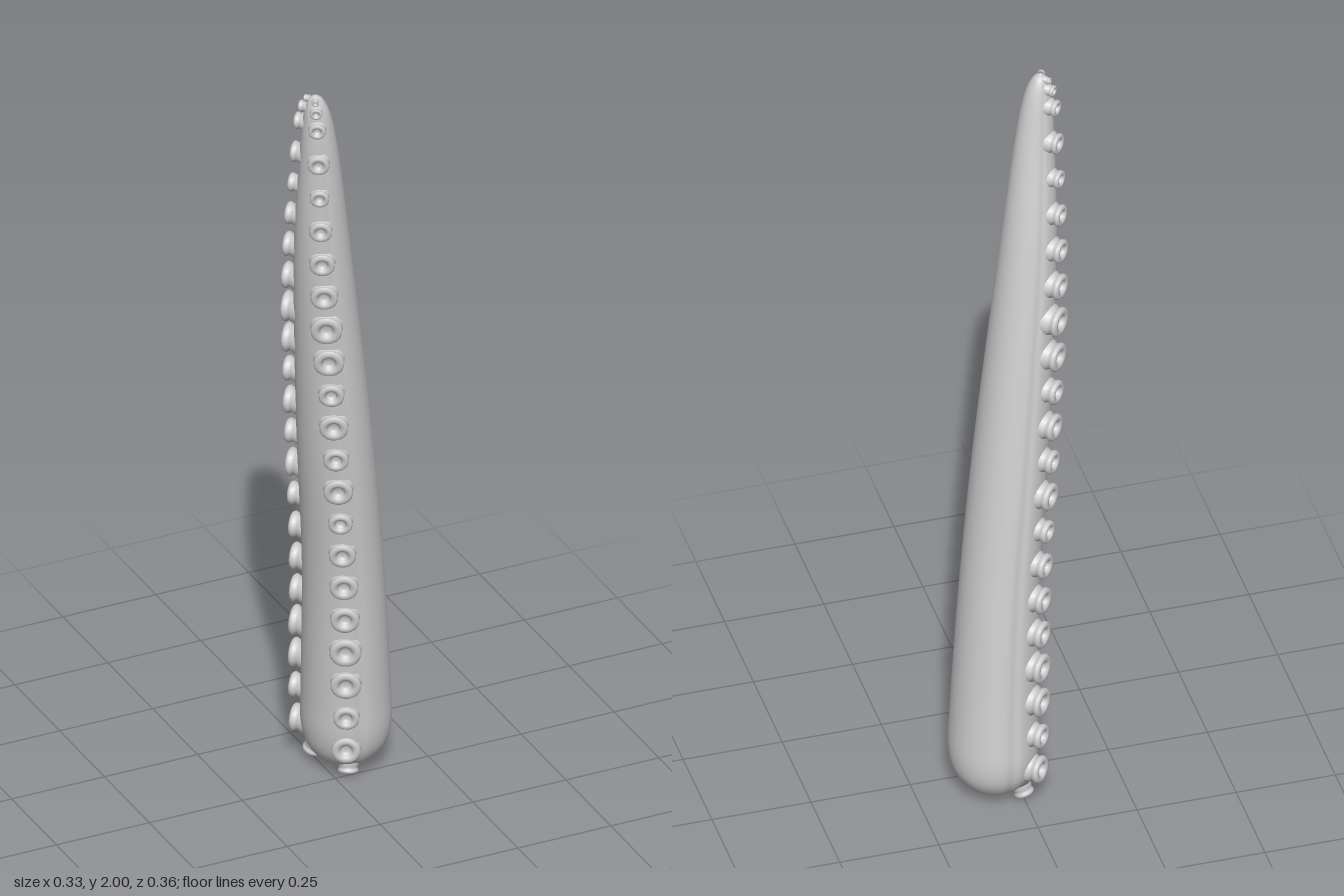
import * as THREE from 'three';

const V = (x, y, z) => new THREE.Vector3(x, y, z);
const DEG = Math.PI / 180;
const PAD = 179 * DEG;      // direction the sucker pad faces (from +x towards +z)
const PAD_HALF = 81 * DEG;  // half width of the pad

// centre x, y, z, radius along x, radius along z
const SECTIONS = [
  [0.055, 0.013, -0.065, 0.0, 0.0],
  [0.057, 0.02, -0.065, 0.046, 0.048],
  [0.058, 0.049, -0.065, 0.086, 0.092],
  [0.059, 0.115, -0.063, 0.108, 0.117],
  [0.053, 0.25, -0.052, 0.107, 0.116],
  [0.03, 0.6, -0.021, 0.097, 0.109],
  [-0.013, 1.0, 0.021, 0.09, 0.101],
  [-0.068, 1.5, 0.073, 0.071, 0.074],
  [-0.095, 1.8, 0.109, 0.05, 0.048],
  [-0.107, 1.93, 0.122, 0.035, 0.034],
  [-0.113, 1.983, 0.125, 0.019, 0.019],
  [-0.115, 1.999, 0.126, 0.0, 0.0],
];
const spine = new THREE.CatmullRomCurve3(SECTIONS.map(s => V(s[0], s[1], s[2])), false, 'catmullrom', 0.5);
const girth = new THREE.CatmullRomCurve3(SECTIONS.map(s => V(s[3], 0, s[4])), false, 'catmullrom', 0.5);

// point on the skin, with a shallow groove along both edges of the pad
function skin(t, a) {
  const c = spine.getPoint(t), r = girth.getPoint(t);
  const off = Math.abs(Math.atan2(Math.sin(a - PAD), Math.cos(a - PAD)));
  const k = 1 - 0.04 * Math.exp(-(((off - PAD_HALF) / 0.1) ** 2));
  return V(c.x + Math.max(r.x, 0) * k * Math.cos(a), c.y, c.z + Math.max(r.z, 0) * k * Math.sin(a));
}

function armGeometry(rings = 88, sides = 80) {
  const pos = [], index = [];
  for (let i = 0; i <= rings; i++) {
    for (let j = 0; j < sides; j++) pos.push(...skin(i / rings, (j / sides) * Math.PI * 2).toArray());
  }
  for (let i = 0; i < rings; i++) {
    for (let j = 0; j < sides; j++) {
      const k = (j + 1) % sides;
      const a = i * sides + j, b = i * sides + k, c = a + sides, d = b + sides;
      index.push(a, c, b, b, c, d);
    }
  }
  const g = new THREE.BufferGeometry();
  g.setAttribute('position', new THREE.Float32BufferAttribute(pos, 3));
  g.setIndex(index);
  g.computeVertexNormals();
  return g;
}

// spine parameter at a given height
function paramAt(y) {
  let lo = 0, hi = 1;
  for (let i = 0; i < 30; i++) {
    const m = (lo + hi) / 2;
    if (spine.getPoint(m).y < y) lo = m; else hi = m;
  }
  return lo;
}

export function createModel() {
  const model = new THREE.Group();
  const material = new THREE.MeshStandardMaterial({ color: 0xcccccc });

  const arm = new THREE.Mesh(armGeometry(), material);
  arm.name = 'tentacleArm';
  model.add(arm);

  // cup with a flared foot, a thick rolled rim and a small hollow centre
  const cup = new THREE.LatheGeometry([
    [1.1, -0.5], [1.02, 0], [0.9, 0.2], [0.9, 0.42], [1, 0.58], [1, 0.8], [0.88, 0.97],
    [0.7, 1], [0.52, 0.92], [0.42, 0.7], [0.36, 0.45], [0.2, 0.35], [0, 0.33],
  ].map(p => new THREE.Vector2(...p)), 20);

  const suckers = new THREE.Group();
  suckers.name = 'suckers';
  model.add(suckers);

  function addSucker(point, normal, radius, height) {
    const m = new THREE.Mesh(cup, material);
    m.name = 'sucker';
    m.position.copy(point);
    m.quaternion.setFromUnitVectors(V(0, 1, 0), normal.normalize());
    m.scale.set(radius, height, radius);
    suckers.add(m);
  }

  // two long rows; the front one sits a little deeper in the skin
  const sizes = [1, 0.9, 1.06, 1.1, 1, 0.98, 0.94, 0.84, 1.02, 0.88];
  const rows = [
    { angle: 117 * DEG, sink: 0.006, height: 0.022 },
    { angle: 223 * DEG, sink: 0, height: 0.028 },
  ];
  for (const { angle, sink, height } of rows) {
    const place = (y, radius, scale) => {
      const t = paramAt(y), axis = spine.getTangent(t);
      const n = V(Math.cos(angle), 0, Math.sin(angle));
      n.addScaledVector(axis, -n.dot(axis)).normalize();
      addSucker(skin(t, angle).addScaledVector(n, -sink * scale), n, radius, height * scale);
    };
    for (let i = 0; i < 20; i++) {
      const shrink = i < 14 ? 1 : 1 - 0.05 * (i - 13);
      place(0.1 + i * 0.0955, 0.035 * sizes[i % sizes.length] * shrink, shrink);
    }
    place(1.96, 0.015, 0.55);
    place(1.985, 0.009, 0.4);
  }

  // last pair under the rounded base
  addSucker(V(0.04, 0.025, -0.01), V(-0.15, -1, 0.25), 0.025, 0.02);
  addSucker(V(0.004, 0.033, -0.123), V(-0.3, -1, -0.3), 0.025, 0.022);

  return model;
}
